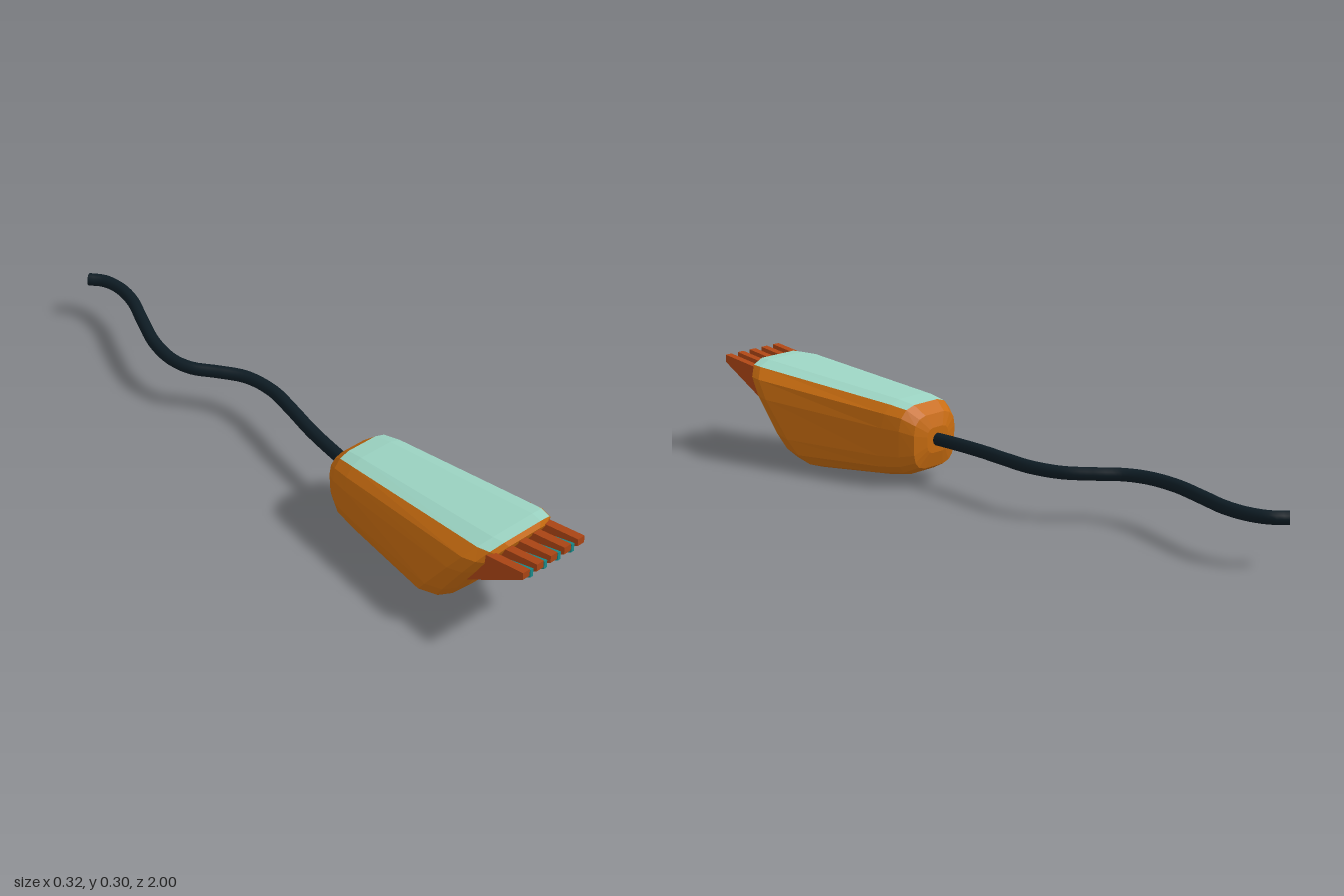
import * as THREE from 'three';

// Half cross-section, bottom to top: [share of half width, share of height]
const HALF = [[0.45, 0], [0.73, 0.05], [0.9, 0.15], [0.97, 0.3], [1, 0.67], [0.93, 0.85], [0.74, 0.955], [0.45, 1]];
const LOOP = [...HALF, ...HALF.map(([u, t]) => [-u, t]).reverse()];

// Body stations, back to front: [bottom z, bottom y, top z, top y, half width]
const STATIONS = [
  [0.24, 0.1, 0.238, 0.175, 0.045],
  [0.255, 0.055, 0.25, 0.212, 0.088],
  [0.3, 0.033, 0.285, 0.24, 0.11],
  [0.37, 0.022, 0.34, 0.25, 0.12],
  [0.63, 0.003, 0.85, 0.298, 0.16],
  [0.69, 0.014, 0.885, 0.298, 0.148],
  [0.73, 0.038, 0.893, 0.284, 0.125],
  [0.76, 0.07, 0.887, 0.268, 0.085],
];

const isPanel = (i, j) => i >= 2 && i < 5 && j >= 6 && j <= 8;

// Skin between the stations, keeping only the faces chosen by the filter
function loft(keep, capped) {
  const n = LOOP.length, pos = [], index = [];
  for (const [zb, yb, zt, yt, w] of STATIONS)
    for (const [u, t] of LOOP) pos.push(u * w, yb + (yt - yb) * t, zb + (zt - zb) * t);
  for (let i = 0; i < STATIONS.length - 1; i++)
    for (let j = 0; j < n; j++) {
      if (!keep(i, j)) continue;
      const a = i * n + j, b = i * n + (j + 1) % n;
      index.push(a, b, b + n, a, b + n, a + n);
    }
  if (capped) {
    const last = STATIONS.length - 1;
    for (const i of [0, last]) {
      const [zb, yb, zt, yt] = STATIONS[i];
      const centre = pos.length / 3;
      pos.push(0, (yb + yt) / 2, (zb + zt) / 2);
      for (let j = 0; j < n; j++) {
        const a = i * n + j, b = i * n + (j + 1) % n;
        if (i === last) index.push(a, b, centre);
        else index.push(b, a, centre);
      }
    }
  }
  const geo = new THREE.BufferGeometry();
  geo.setAttribute('position', new THREE.Float32BufferAttribute(pos, 3));
  geo.setIndex(index);
  geo.computeVertexNormals();
  return geo;
}

// Side profile given as [z, y], extruded across x
function tooth(profile, width) {
  const shape = new THREE.Shape(profile.map(([z, y]) => new THREE.Vector2(-z, y)));
  const geo = new THREE.ExtrudeGeometry(shape, { depth: width, bevelEnabled: false });
  geo.translate(0, 0, -width / 2);
  return geo.rotateY(Math.PI / 2);
}

export function createModel() {
  const model = new THREE.Group();
  const add = (name, geo, color, flatShading = true, parent = model) => {
    const mesh = new THREE.Mesh(geo, new THREE.MeshStandardMaterial({ color, flatShading }));
    mesh.name = name;
    parent.add(mesh);
    return mesh;
  };

  // Faceted housing and its inlaid top panel
  add('body', loft((i, j) => !isPanel(i, j), true), 0xc86c10);
  add('topPanel', loft(isPanel, false), 0x9bd3c2).material.side = THREE.DoubleSide;

  // Comb of wide teeth with thin blades in the gaps
  const comb = new THREE.Group();
  comb.name = 'comb';
  model.add(comb);
  const wide = tooth([[1, 0.298], [1, 0.276], [0.8, 0.15], [0.82, 0.268]], 0.024);
  const thin = tooth([[0.995, 0.287], [0.995, 0.262], [0.8, 0.143], [0.82, 0.24]], 0.01);
  for (let i = 0; i < 5; i++) add('tooth', wide, 0xad4615, true, comb).position.x = -0.105 + i * 0.05;
  for (let i = 0; i < 4; i++) add('blade', thin, 0x1b8c8c, true, comb).position.x = -0.079 + i * 0.05;

  // Wavy cord lying level behind the body, as [x, z]
  const y = 0.138, radius = 0.019;
  const path = [[0, 0.3], [0.002, 0.23], [0.025, 0.06], [0.052, -0.06], [0.072, -0.17], [0.06, -0.27],
    [0.015, -0.345], [-0.03, -0.41], [-0.045, -0.48], [-0.03, -0.58], [0.022, -0.71], [0.06, -0.8],
    [0.075, -0.88], [0.065, -0.945], [0.035, -0.985]];
  const curve = new THREE.CatmullRomCurve3(path.map(([x, z]) => new THREE.Vector3(x, y, z)));
  add('cord', new THREE.TubeGeometry(curve, 80, radius, 12), 0x0e1c24, false);
  const cap = add('cordEnd', new THREE.CircleGeometry(radius, 12), 0x0e1c24);
  cap.position.copy(curve.getPoint(1));
  cap.lookAt(cap.position.clone().add(curve.getTangent(1)));

  return model;
}
